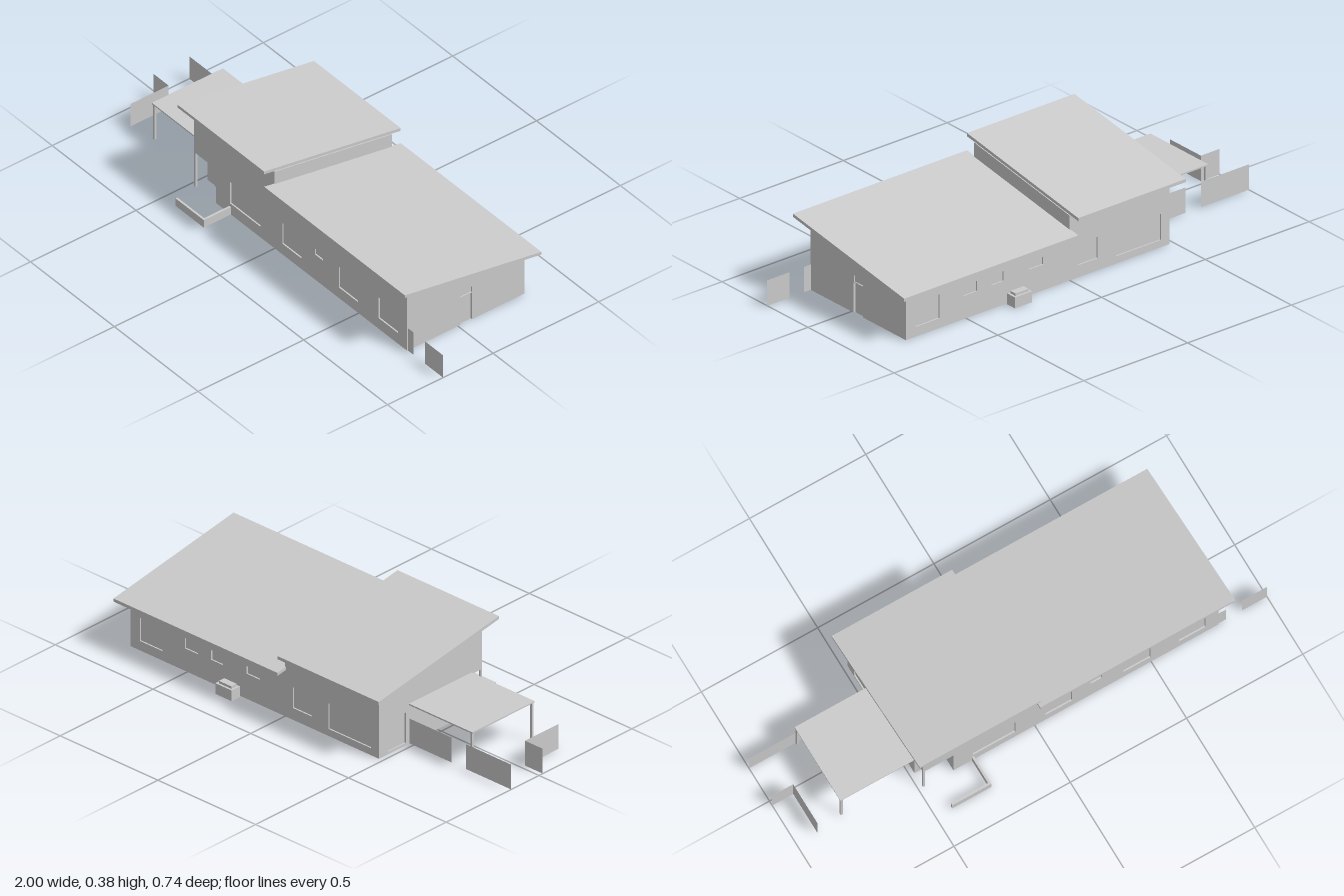
import * as THREE from 'three';

const T = 0.012, SLOPE = 0.167, ROOF = 0.013;
const X0 = -0.48, X1 = 0.79, ZF = 0.24, ZB = -0.315;
const mat = new THREE.MeshStandardMaterial({ color: 0xcccccc, flatShading: true, side: THREE.DoubleSide });

// underside height of a roof whose front top edge is at y = top
const under = (top, z) => top - ROOF - SLOPE * (0.287 - z);
const HIGH = 0.381, LOW = 0.31;

export function createModel() {
  const root = new THREE.Group();

  const add = (name, geo, parent = root) => {
    const m = new THREE.Mesh(geo, mat);
    m.name = name;
    parent.add(m);
    return m;
  };
  // box from its min and max corners
  const box = (name, x0, x1, y0, y1, z0, z1, parent = root) => {
    const m = add(name, new THREE.BoxGeometry(x1 - x0, y1 - y0, z1 - z0), parent);
    m.position.set((x0 + x1) / 2, (y0 + y1) / 2, (z0 + z1) / 2);
    return m;
  };
  // extruded outline with rectangular holes [a0, a1, y0, y1]
  const slab = (name, pts, holes, depth) => {
    const s = new THREE.Shape(pts.map(p => new THREE.Vector2(...p)));
    for (const [a0, a1, y0, y1] of holes) {
      s.holes.push(new THREE.Path([[a0, y0], [a0, y1], [a1, y1], [a1, y0]].map(p => new THREE.Vector2(...p))));
    }
    return add(name, new THREE.ExtrudeGeometry(s, { depth, bevelEnabled: false }));
  };
  // slab whose outline lies in (z, y), extruded from x towards -x
  const sideSlab = (name, x, pts, holes, depth) => {
    const m = slab(name, pts, holes, depth);
    m.rotation.y = -Math.PI / 2;
    m.position.x = x;
    return m;
  };

  // front wall, stepped at x = 0, with the entry cut from its end
  const frontWindows = [
    [-0.266, -0.084, 0.05, 0.15], [0.045, 0.16, 0.05, 0.147], [0.24, 0.288, 0.118, 0.145],
    [0.382, 0.497, 0.05, 0.147], [0.62, 0.734, 0.05, 0.147]];
  const fh = under(HIGH, ZF), fl = under(LOW, ZF);
  slab('frontWall', [[X0, 0.16], [-0.35, 0.16], [-0.35, 0], [X1, 0], [X1, fl], [0, fl], [0, fh], [X0, fh]],
    frontWindows, T).position.z = ZF - T;

  // back wall
  const backWindows = [
    [0.628, 0.743, 0.04, 0.138], [0.446, 0.512, 0.095, 0.138], [0.318, 0.378, 0.097, 0.138],
    [0.128, 0.196, 0.106, 0.138], [-0.135, -0.04, 0.05, 0.138], [-0.44, -0.223, 0.03, 0.138]];
  const bh = under(HIGH, ZB), bl = under(LOW, ZB);
  slab('backWall', [[X0, 0], [X1, 0], [X1, bl], [0, bl], [0, bh], [X0, bh]], backWindows, T).position.z = ZB;

  // window panes set into the walls
  for (const [a0, a1, y0, y1] of frontWindows) box('frontWindow', a0, a1, y0, y1, ZF - 0.009, ZF - 0.006);
  for (const [a0, a1, y0, y1] of backWindows) box('backWindow', a0, a1, y0, y1, ZB + 0.006, ZB + 0.009);

  // end wall with a door and transom opening
  sideSlab('leftEndWall', X1, [[ZB, 0], [-0.067, 0], [-0.067, 0.125], [-0.012, 0.125], [-0.012, 0], [ZF, 0], [ZF, fl], [ZB, bl]],
    [[-0.066, -0.013, 0.128, 0.155]], T);
  box('sideDoor', X1 - 0.011, X1 - 0.008, 0, 0.125, -0.067, -0.012);
  box('transom', X1 - 0.008, X1 - 0.005, 0.128, 0.155, -0.066, -0.013);

  // tall end wall, open at the porch corner
  sideSlab('rightEndWall', X0 + T, [[ZB, 0], [0.177, 0], [0.177, 0.16], [ZF, 0.16], [ZF, fh], [ZB, bh]],
    [[-0.267, -0.17, 0.01, 0.138]], T);
  box('rightWindow', X0 + 0.006, X0 + 0.009, 0.01, 0.138, -0.267, -0.17);
  // wall between the two roof levels
  sideSlab('clerestoryWall', 0, [[ZB, 0.15], [ZF, 0.15], [ZF, fh], [ZB, bh]], [], T);

  // entry porch
  box('porchPost', X0, X0 + 0.008, 0, 0.16, ZF - 0.008, ZF);
  box('porchBackWall', X0, -0.35, 0, 0.16, 0.165, 0.177);
  box('porchSideWall', -0.35, -0.338, 0, 0.16, 0.165, ZF - T);
  box('porchCeiling', X0, -0.35, 0.16, 0.166, 0.165, ZF - T);
  box('frontDoor', -0.43, -0.37, 0, 0.13, 0.177, 0.181);

  // sloping roofs
  for (const [name, x0, x1, top] of [['highRoof', -0.522, -0.004, HIGH], ['lowRoof', -0.004, 0.835, LOW]]) {
    const back = top - SLOPE * 0.647;
    sideSlab(name, x1, [[-0.36, back - ROOF], [0.287, top - ROOF], [0.287, top], [-0.36, back]], [], x1 - x0);
  }

  // carport
  box('carportRoof', -0.803, X0, 0.162, 0.168, -0.152, 0.184);
  for (const z of [-0.145, 0.177]) box('carportPost', -0.8, -0.791, 0, 0.162, z - 0.0045, z + 0.0045);

  // thin screen panels: [x0, z0, x1, z1]
  for (const [x0, z0, x1, z1] of [
    [-0.695, -0.15, X0, -0.15], [-1, -0.15, -0.77, -0.15], [-1, 0.02, -0.91, 0.02],
    [-0.91, 0.02, -0.91, 0.2], [X1, 0.237, 0.823, 0.237], [0.892, 0.237, 1, 0.237]]) {
    const m = add('screenPanel', new THREE.PlaneGeometry(Math.hypot(x1 - x0, z1 - z0), 0.105));
    m.position.set((x0 + x1) / 2, 0.0525, (z0 + z1) / 2);
    m.rotation.y = Math.atan2(z0 - z1, x1 - x0);
  }

  // low garden wall by the entry
  box('gardenWallFront', -0.43, -0.262, 0, 0.035, 0.359, 0.368);
  box('gardenWallSide', -0.271, -0.262, 0, 0.035, ZF, 0.359);

  // outdoor unit behind the house
  box('outdoorUnit', 0.224, 0.307, 0, 0.045, -0.367, -0.322);
  box('outdoorUnitCap', 0.234, 0.297, 0.045, 0.055, -0.358, -0.329);

  // inner partitions
  const inside = new THREE.Group();
  inside.name = 'interior';
  root.add(inside);
  const H = 0.16, zi = ZB + T, zo = ZF - T;
  for (const x of [0.56, 0.41, 0.27, 0.08]) box('backPartition', x, x + 0.008, 0, H, zi, -0.08, inside);
  for (const x of [0.57, 0.33, 0.2, 0]) box('frontPartition', x, x + 0.008, 0, H, 0, zo, inside);
  for (const [x0, x1] of [[0.08, 0.16], [0.21, 0.32], [0.37, 0.46], [0.51, 0.6], [0.65, 0.778]]) {
    box('hallBackWall', x0, x1, 0, H, -0.088, -0.08, inside);
    box('hallFrontWall', x0, x1, 0, H, 0, 0.008, inside);
  }

  // furniture: [name, x0, x1, y0, y1, z0, z1]
  for (const f of [
    ['bed', 0.63, 0.73, 0.01, 0.035, -0.29, -0.17], ['bed', 0.64, 0.74, 0.01, 0.035, 0.1, 0.22],
    ['bed', 0.4, 0.5, 0.01, 0.035, 0.1, 0.22], ['bath', 0.46, 0.54, 0, 0.035, -0.3, -0.25],
    ['washstand', 0.29, 0.39, 0.02, 0.05, -0.3, -0.26], ['bench', 0.1, 0.25, 0.03, 0.055, -0.3, -0.25],
    ['wardrobe', 0.34, 0.38, 0, 0.13, 0.02, 0.1], ['wardrobe', 0.58, 0.62, 0, 0.13, 0.02, 0.1],
    ['desk', 0.04, 0.16, 0.04, 0.05, 0.16, 0.22], ['kitchenCounter', -0.13, 0.06, 0, 0.055, -0.3, -0.25],
    ['kitchenIsland', -0.12, 0.03, 0.01, 0.055, -0.16, -0.11], ['diningTable', -0.38, -0.24, 0.04, 0.048, -0.22, -0.13],
    ['sofa', -0.25, -0.1, 0.008, 0.03, 0.15, 0.21], ['sofaBack', -0.25, -0.1, 0.008, 0.055, 0.21, 0.225],
    ['coffeeTable', -0.22, -0.13, 0.02, 0.026, 0.06, 0.11]]) box(...f, inside);

  return root;
}
